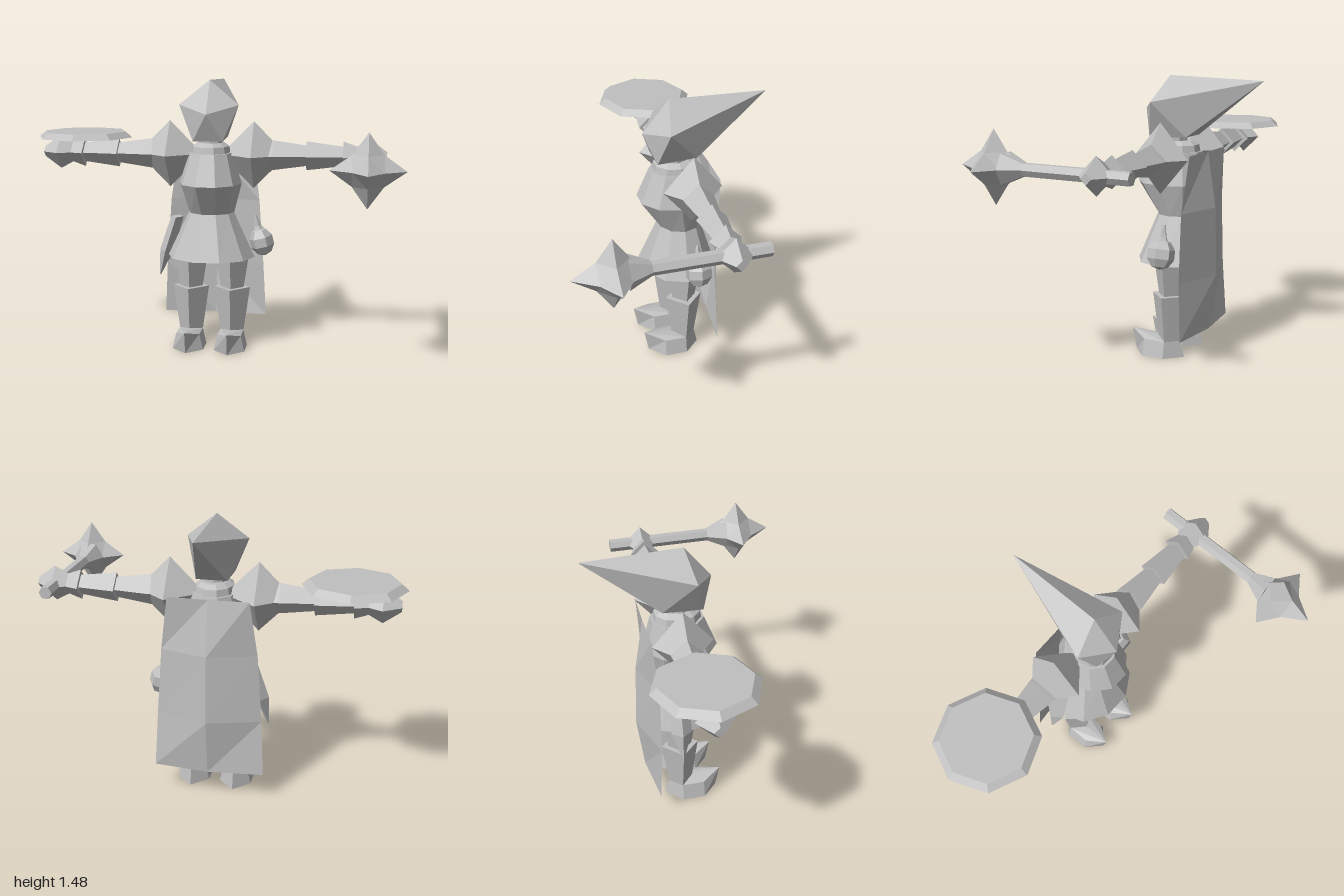
import * as THREE from 'three';
import { ConvexGeometry } from 'three/addons/geometries/ConvexGeometry.js';

const V = (x, y, z) => new THREE.Vector3(x, y, z);
const grey = new THREE.MeshStandardMaterial({ color: 0xc0c0c0, flatShading: true });
grey.name = 'plain grey';
const clothGrey = grey.clone();
clothGrey.side = THREE.DoubleSide;
clothGrey.name = 'plain grey cloth';

// Horizontal ring of n corners, counterclockwise from above
function ring(n, y, rx, rz = rx, cx = 0, cz = 0) {
  return Array.from({ length: n }, (_, i) => {
    const a = (i / n) * Math.PI * 2;
    return V(cx + Math.cos(a) * rx, y, cz - Math.sin(a) * rz);
  });
}

// Solid skinned through rings listed from bottom to top
function loft(rings) {
  const tri = [];
  const n = rings[0].length;
  for (let r = 0; r < rings.length - 1; r++) {
    const a = rings[r], b = rings[r + 1];
    for (let i = 0; i < n; i++) {
      const j = (i + 1) % n;
      tri.push(a[i], a[j], b[j], a[i], b[j], b[i]);
    }
  }
  const low = rings[0], top = rings[rings.length - 1];
  for (let i = 1; i < n - 1; i++) {
    tri.push(low[0], low[i + 1], low[i], top[0], top[i], top[i + 1]);
  }
  const g = new THREE.BufferGeometry().setFromPoints(tri);
  g.computeVertexNormals();
  return g;
}

// Loft from [height, radius] pairs
const taper = (n, pairs) => loft(pairs.map(([y, r]) => ring(n, y, r)));

export function createModel() {
  const model = new THREE.Group();
  const body = new THREE.Group();
  body.name = 'body';
  body.position.x = -0.03;
  model.add(body);

  const add = (name, geometry, parent = body, material = grey) => {
    const m = new THREE.Mesh(geometry, material);
    m.name = name;
    parent.add(m);
    return m;
  };

  // Pointed hood sweeping back
  add('hood', new ConvexGeometry([
    V(0, 1.475, -0.09), V(0, 1.46, -0.61), V(0, 1.3, 0.05),
    V(0.16, 1.345, -0.055), V(-0.16, 1.345, -0.055),
    V(0.08, 1.155, -0.01), V(-0.08, 1.155, -0.01),
    V(0.08, 1.165, -0.22), V(-0.08, 1.165, -0.22),
  ]));

  // Neck and collar
  add('neck', taper(8, [[1.05, 0.07], [1.18, 0.065]])).position.z = -0.12;
  add('collar', loft([ring(10, 1.07, 0.11, 0.13), ring(10, 1.12, 0.1, 0.12), ring(10, 1.14, 0.07, 0.09)]))
    .position.z = -0.13;

  // Tunic with a flared skirt
  add('tunic', loft([
    ring(10, 0.51, 0.24, 0.205, 0, -0.14),
    ring(10, 0.755, 0.125, 0.115, 0, -0.15),
    ring(10, 0.92, 0.17, 0.195, 0, -0.117),
    ring(10, 1.085, 0.12, 0.14, 0, -0.13),
  ]));

  // Arms: overlapping diamond-section pieces, mirrored
  const armParts = [
    ['upperArm', [[0.2, 0.085], [0.34, 0.08], [0.515, 0.055]]],
    ['forearm', [[0.515, 0.078], [0.71, 0.052]]],
    ['cuff', [[0.71, 0.08], [0.78, 0.055]]],
    ['hand', [[0.78, 0.055], [0.85, 0.093], [0.94, 0.028]]],
  ];
  for (const s of [-1, 1]) {
    const side = s > 0 ? 'left' : 'right';
    const arm = new THREE.Group();
    arm.name = side + 'Arm';
    arm.position.set(0, 1.072, -0.152);
    body.add(arm);
    for (const [name, pairs] of armParts) {
      add(name, taper(4, pairs).rotateZ(-s * Math.PI / 2), arm);
    }
    add('shoulderGuard', new THREE.OctahedronGeometry(1).scale(0.18, 0.182, 0.155), arm)
      .position.x = s * 0.23;

    // Legs
    const leg = new THREE.Group();
    leg.name = side + 'Leg';
    leg.position.set(s * 0.115, 0, 0);
    body.add(leg);
    add('thigh', taper(4, [[0.32, 0.062], [0.56, 0.1]]), leg).position.z = -0.15;
    add('shin', taper(4, [[0.07, 0.063], [0.335, 0.1]]), leg).position.z = -0.15;
    add('foot', loft([
      [V(0, 0, 0.05), V(0.085, 0, -0.03), V(0.085, 0, -0.15), V(0, 0, -0.235), V(-0.085, 0, -0.15), V(-0.085, 0, -0.03)],
      [V(0, 0.12, 0.075), V(0.065, 0.088, -0.03), V(0.065, 0.088, -0.15), V(0, 0.088, -0.215), V(-0.065, 0.088, -0.15), V(-0.065, 0.088, -0.03)],
    ]), leg);
  }

  // Cape: two columns bowed backwards, rows of [y, half width, edge z, middle z]
  const rows = [
    [1.09, 0.21, -0.305, -0.31], [0.8, 0.25, -0.28, -0.355],
    [0.44, 0.275, -0.28, -0.365], [0.14, 0.29, -0.295, -0.325],
  ].map(([y, w, ze, zm]) => [V(-w, y, ze), V(0, y, zm), V(w, y, ze)]);
  const cloth = [];
  for (let r = 0; r < 3; r++) {
    for (let c = 0; c < 2; c++) {
      const a = rows[r][c], b = rows[r][c + 1], d = rows[r + 1][c], e = rows[r + 1][c + 1];
      cloth.push(a, b, e, a, e, d);
    }
  }
  const capeGeometry = new THREE.BufferGeometry().setFromPoints(cloth);
  capeGeometry.computeVertexNormals();
  add('cape', capeGeometry, body, clothGrey);

  // Round pouch with a tied neck on the left hip
  const pouch = new THREE.Group();
  pouch.name = 'pouch';
  pouch.position.set(0.275, 0.59, -0.18);
  pouch.rotation.z = 0.25;
  body.add(pouch);
  add('pouchBag', new THREE.SphereGeometry(1, 6, 5).scale(0.068, 0.08, 0.075), pouch);
  add('pouchTie', taper(5, [[0.06, 0.035], [0.09, 0.02], [0.15, 0.008]]), pouch);

  // Pointed sheath on the right hip
  add('sheath', loft([
    ring(4, 0.385, 0.004, 0.004, -0.295, -0.17),
    ring(4, 0.53, 0.04, 0.055, -0.255, -0.17),
    ring(4, 0.72, 0.035, 0.05, -0.195, -0.17),
  ]));

  // Octagonal shield lying on the right forearm
  add('shield', taper(8, [[1.155, 0.264], [1.187, 0.227]]), model).position.set(-0.736, 0, -0.155);

  // Spiked mace in the left hand, pointing forward
  const mace = new THREE.Group();
  mace.name = 'mace';
  mace.position.set(0.812, 1.072, 0);
  model.add(mace);
  add('maceHandle', taper(6, [[-0.33, 0.035], [0.24, 0.035], [0.35, 0.085]]).rotateX(Math.PI / 2), mace);
  const head = new THREE.OctahedronGeometry(1, 1);
  const p = head.attributes.position;
  const v = V();
  for (let i = 0; i < p.count; i++) {
    v.fromBufferAttribute(p, i);
    // axis corners become spikes, the others sink inwards
    const spike = Math.max(Math.abs(v.x), Math.abs(v.y), Math.abs(v.z)) > 0.9;
    v.multiplyScalar(spike ? 0.184 : 0.108);
    if (v.z > 0.15) v.z = 0.195;
    p.setXYZ(i, v.x, v.y, v.z);
  }
  head.computeVertexNormals();
  add('maceHead', head, mace).position.z = 0.415;

  return model;
}
